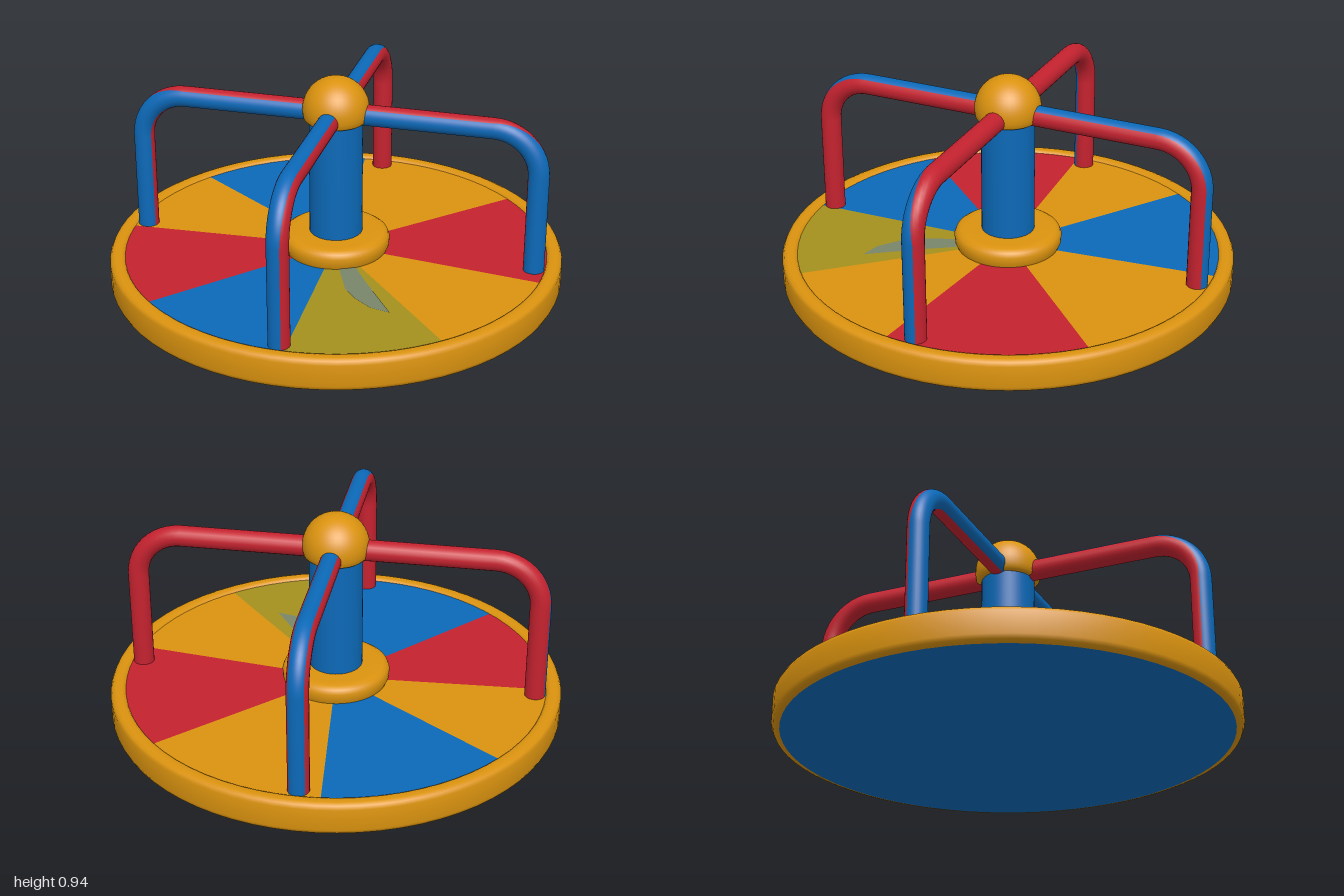
import * as THREE from 'three';
import { ParametricGeometry } from 'three/addons/geometries/ParametricGeometry.js';

const RAD = Math.PI / 180;
const DECK_Y = 0.136;

function material(name, color) {
  const m = new THREE.MeshStandardMaterial({ color });
  m.name = name;
  return m;
}

export function createModel() {
  const group = new THREE.Group();
  const yellow = material('yellow', 0xdb930f);
  const blue = material('blue', 0x0c69b8);
  const red = material('red', 0xc4222f);
  const olive = material('olive', 0xa4911f);
  const grey = material('greyGreen', 0x78866a);

  function add(name, geometry, mat, parent = group) {
    const mesh = new THREE.Mesh(geometry, mat);
    mesh.name = name;
    parent.add(mesh);
    return mesh;
  }
  const lathe = (points, segments = 64) =>
    new THREE.LatheGeometry(points.map(([r, y]) => new THREE.Vector2(r, y)), segments);

  // Rounded outer rim, profile from the bottom inside edge up and over
  add('rim', lathe([
    [0.95, 0.004], [0.975, 0.004], [0.992, 0.01], [1, 0.028], [1, 0.08], [1, 0.125],
    [0.992, 0.141], [0.975, 0.148], [0.95, 0.147], [0.938, 0.143], [0.93, 0.13],
  ], 72), yellow);

  // Flat underside
  const underside = add('underside', new THREE.CircleGeometry(0.965, 72), blue);
  underside.rotation.x = Math.PI / 2;
  underside.position.y = 0.003;

  // Deck sectors: angles in degrees from +x towards +z
  const sectors = [
    [-96, -45, yellow], [-45, 7, red], [7, 48, yellow], [48, 88, olive],
    [88, 132, blue], [132, 177, red], [177, 214.5, yellow], [214.5, 264, blue],
  ];
  for (const [from, to, mat] of sectors) {
    const geometry = new THREE.CircleGeometry(0.94, 14, -to * RAD, (to - from) * RAD);
    geometry.rotateX(-Math.PI / 2).translate(0, DECK_Y, 0);
    add('deckSector', geometry, mat);
  }

  // Worn patch on the olive sector
  const patch = new THREE.Shape([
    [0.06, 0.19], [0.14, 0.19], [0.21, 0.3], [0.37, 0.53], [0.28, 0.51], [0.2, 0.45], [0.14, 0.38],
  ].map(([x, z]) => new THREE.Vector2(x, -z)));
  add('wornPatch', new THREE.ShapeGeometry(patch).rotateX(-Math.PI / 2).translate(0, DECK_Y + 0.003, 0), grey);

  // Centre post, collar and dome
  add('post', new THREE.CylinderGeometry(0.117, 0.117, 0.62, 40), blue).position.y = 0.45;
  add('collar', lathe([
    [0.225, 0.13], [0.236, 0.155], [0.238, 0.185], [0.23, 0.205], [0.212, 0.217], [0.18, 0.219], [0.1, 0.219],
  ]), yellow);
  const dome = [[0, 0.745], [0.12, 0.745], [0.132, 0.748]];
  for (let a = -15; a <= 90; a += 7.5) {
    dome.push([0.145 * Math.cos(a * RAD), 0.795 + 0.145 * Math.sin(a * RAD)]);
  }
  add('dome', lathe(dome, 40), yellow);

  // One lengthwise strip of a bent handrail; range(t) gives its angles from the
  // outer side, with t going from 0 on the top bar to 1 on the upright
  function railStrip(range) {
    const tube = 0.046, bend = 0.2, reach = 0.885, height = 0.78;
    return new ParametricGeometry((u, v, target) => {
      const t = THREE.MathUtils.clamp((v - 0.25) / 0.5, 0, 1);
      const nx = Math.sin(t * Math.PI / 2), ny = Math.cos(t * Math.PI / 2);
      let x = reach - bend + bend * nx;
      let y = height - bend + bend * ny;
      if (v < 0.25) x = THREE.MathUtils.lerp(0.06, reach - bend, v / 0.25);
      if (v > 0.75) y = THREE.MathUtils.lerp(height - bend, 0.12, (v - 0.75) / 0.25);
      const [a0, a1] = range(t);
      const a = THREE.MathUtils.lerp(a0, a1, u) * RAD;
      const out = tube * Math.cos(a);
      target.set(x + nx * out, y + ny * out, tube * Math.sin(a));
    }, 14, 24);
  }

  // Four two-tone rails: turn about y, blue angles on the bar and on the upright
  const rails = [
    [0, [42, 150], [-25, 150]],
    [Math.PI, [-150, -42], [-150, 25]],
    [-Math.PI / 2, [-45, 45], [-25, 85]],
    [Math.PI / 2, [-45, 45], [-45, 50]],
  ];
  for (const [turn, bar, upright] of rails) {
    const rail = new THREE.Group();
    rail.name = 'handrail';
    rail.rotation.y = turn;
    const blueRange = (t) => [0, 1].map((i) => THREE.MathUtils.lerp(bar[i], upright[i], t));
    const redRange = (t) => {
      const [a0, a1] = blueRange(t);
      return [a1, a0 + 360];
    };
    add('railBlueSide', railStrip(blueRange), blue, rail);
    add('railRedSide', railStrip(redRange), red, rail);
    group.add(rail);
  }

  return group;
}
